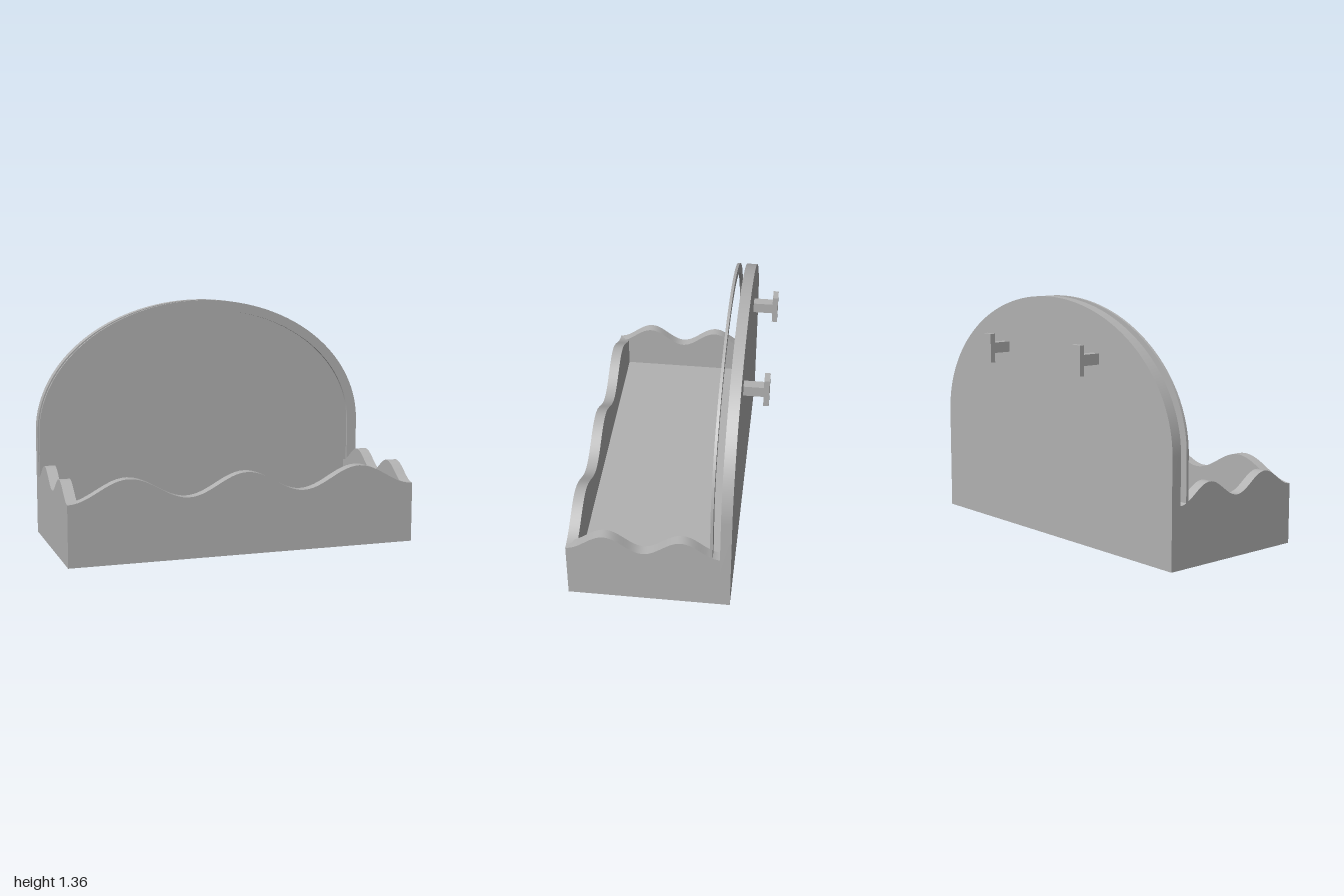
import * as THREE from 'three';
import { toCreasedNormals } from 'three/addons/utils/BufferGeometryUtils.js';

const W = 1, FRONT = 0.52, BACK = -0.38, WALL = 0.06;
const SPRING = 0.6; // height where the arch starts to curve

export function createModel() {
  const model = new THREE.Group();
  const grey = new THREE.MeshStandardMaterial({ color: 0xb2b2b2 });
  grey.name = 'plain grey';

  function add(name, geometry, x = 0, y = 0, z = 0) {
    const mesh = new THREE.Mesh(geometry, grey);
    mesh.name = name;
    mesh.position.set(x, y, z);
    model.add(mesh);
    return mesh;
  }

  const extrude = (shape, depth) => toCreasedNormals(
    new THREE.ExtrudeGeometry(shape, { depth, bevelEnabled: false, curveSegments: 48 }), 0.5);

  // Wall outline from a to b with a wavy top edge
  function wavyShape(a, b, height, steps = 72) {
    const shape = new THREE.Shape();
    shape.moveTo(a, 0);
    shape.lineTo(b, 0);
    for (let i = 0; i <= steps; i++) {
      const t = b + (a - b) * i / steps;
      shape.lineTo(t, height(t));
    }
    return shape;
  }

  // Back panel with an elliptical top
  const panel = new THREE.Shape();
  panel.moveTo(-W, 0);
  panel.lineTo(W, 0);
  panel.lineTo(W, SPRING);
  panel.absellipse(0, SPRING, W, 0.76, 0, Math.PI, false);
  panel.lineTo(-W, 0);
  add('backPanel', extrude(panel, WALL), 0, 0, BACK);

  // Thin arched rim standing just in front of the panel
  const rim = new THREE.Shape();
  rim.moveTo(W - WALL, 0.34);
  rim.lineTo(W, 0.34);
  rim.lineTo(W, SPRING);
  rim.absellipse(0, SPRING, W, 0.76, 0, Math.PI, false);
  rim.lineTo(-W, 0.34);
  rim.lineTo(-W + WALL, 0.34);
  rim.lineTo(-W + WALL, SPRING);
  rim.absellipse(0, SPRING, W - WALL, 0.705, Math.PI, 0, true);
  rim.lineTo(W - WALL, 0.34);
  add('archRim', extrude(rim, 0.015), 0, 0, -0.28);

  // Front wall with three waves
  const frontWave = x => 0.40 + 0.06 * Math.cos(3 * Math.PI * x);
  add('frontWall', extrude(wavyShape(-W, W, frontWave), WALL), 0, 0, FRONT - WALL);

  // Side walls with two waves; the outline runs along -z after turning
  const sideWave = s => 0.39 + 0.05 * Math.cos(2 * Math.PI * (-s - 0.31) / 0.42);
  for (const [name, x] of [['leftWall', W - WALL], ['rightWall', -W]]) {
    const wall = add(name, extrude(wavyShape(-FRONT, -BACK - WALL, sideWave), WALL), x);
    wall.rotation.y = Math.PI / 2;
  }

  // Tray floor, raised above the bottom edge of the walls
  add('floor', new THREE.BoxGeometry(1.88, 0.095, 0.78), 0, 0.1225, 0.07);

  // Mounting pegs on the back
  for (const side of [-1, 1]) {
    add('pegStem', new THREE.BoxGeometry(0.055, 0.06, 0.11), side * 0.4, 1.05, -0.435);
    add('pegHead', new THREE.BoxGeometry(0.075, 0.165, 0.03), side * 0.4, 1.05, -0.505);
  }

  return model;
}
